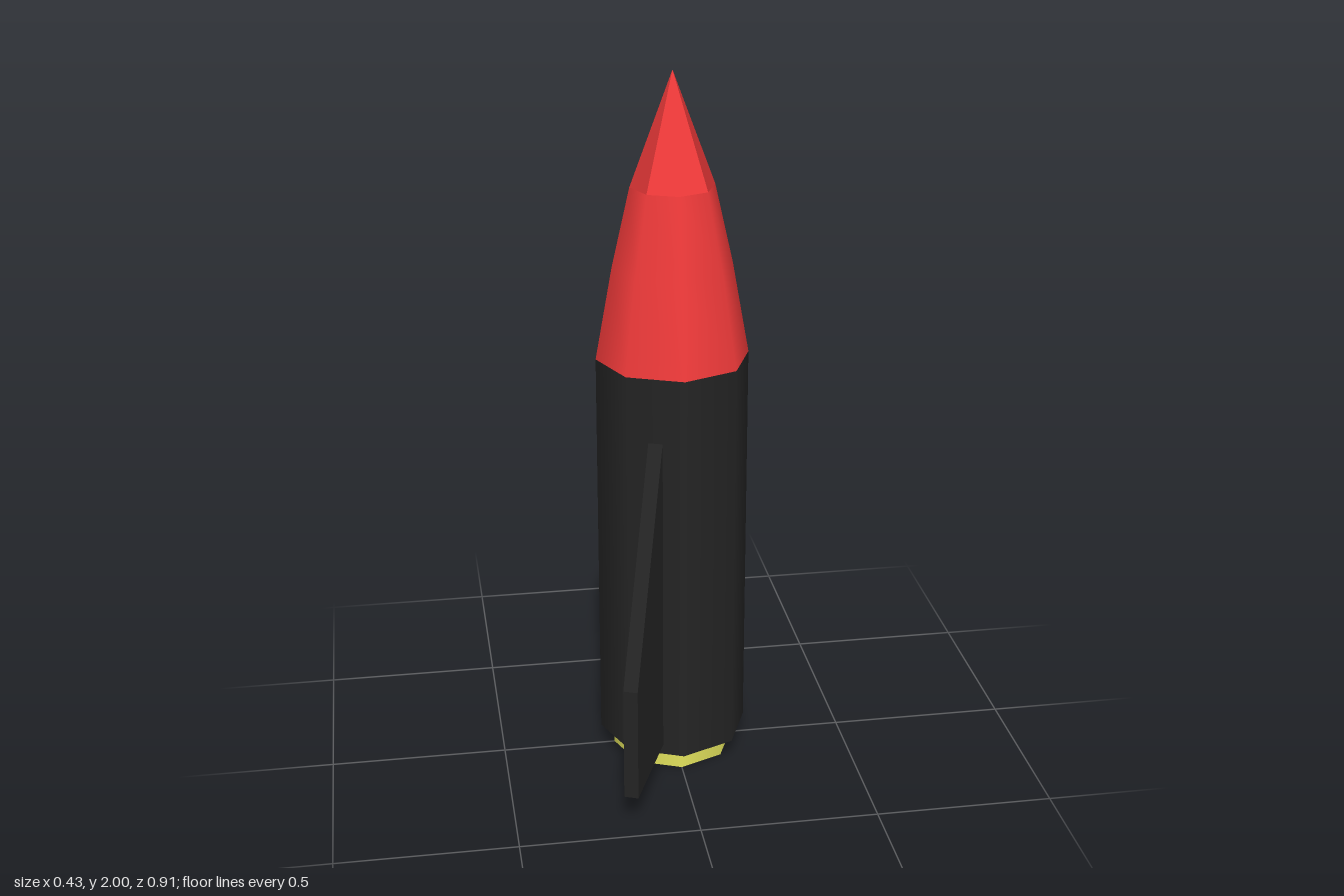
import * as THREE from 'three';

const SIDES = 8;
const RADIUS = 0.213;

const paint = (color) => new THREE.MeshStandardMaterial({ color });

function addMesh(parent, name, geometry, material) {
  const mesh = new THREE.Mesh(geometry, material);
  mesh.name = name;
  parent.add(mesh);
  return mesh;
}

// One quarter of the pointed tip: two facets shaded as one plane
function tipQuarter(radius, height, angle) {
  const geometry = new THREE.ConeGeometry(radius, height, 2, 1, true, angle - Math.PI / 4, Math.PI / 2);
  const normal = new THREE.Vector3(Math.sin(angle) * height, radius, Math.cos(angle) * height).normalize();
  const normals = geometry.attributes.normal;
  for (let i = 0; i < normals.count; i++) normals.setXYZ(i, normal.x, normal.y, normal.z);
  return geometry;
}

export function createModel() {
  const rocket = new THREE.Group();
  rocket.name = 'rocket';
  const black = paint(0x242424);
  const red = paint(0xf03a3a);
  const yellow = paint(0xe2e25c);

  // Eight-sided body and nozzle
  const body = new THREE.CylinderGeometry(RADIUS, RADIUS, 1.15, SIDES);
  addMesh(rocket, 'body', body, black).position.y = 0.635;
  const nozzle = new THREE.CylinderGeometry(0.174, 0.174, 0.07, SIDES);
  addMesh(rocket, 'nozzle', nozzle, yellow).position.y = 0.035;

  // Nose: curved lower part and pointed tip
  const nose = new THREE.Group();
  nose.name = 'nose';
  rocket.add(nose);
  const profile = [[RADIUS, 1.21], [0.166, 1.47], [0.116, 1.69]].map(([r, y]) => new THREE.Vector2(r, y));
  addMesh(nose, 'noseCone', new THREE.LatheGeometry(profile, SIDES), red);
  for (let i = 0; i < 4; i++) {
    addMesh(nose, 'noseTip', tipQuarter(0.116, 0.31, i * Math.PI / 2), red).position.y = 1.845;
  }

  // Two opposite swept fins, each centred on a body facet
  const outline = [[0.15, 0.09], [0.484, 0.09], [0.484, 0.42], [0.197, 1.025], [0.15, 1.125]];
  const finShape = new THREE.Shape(outline.map(([r, y]) => new THREE.Vector2(r, y)));
  const finGeometry = new THREE.ExtrudeGeometry(finShape, { depth: 0.04, bevelEnabled: false });
  finGeometry.translate(0, 0, -0.02);
  for (const [name, turn] of [['frontFin', 0], ['backFin', Math.PI]]) {
    addMesh(rocket, name, finGeometry, black).rotation.y = turn - Math.PI * 0.625;
  }

  return rocket;
}
